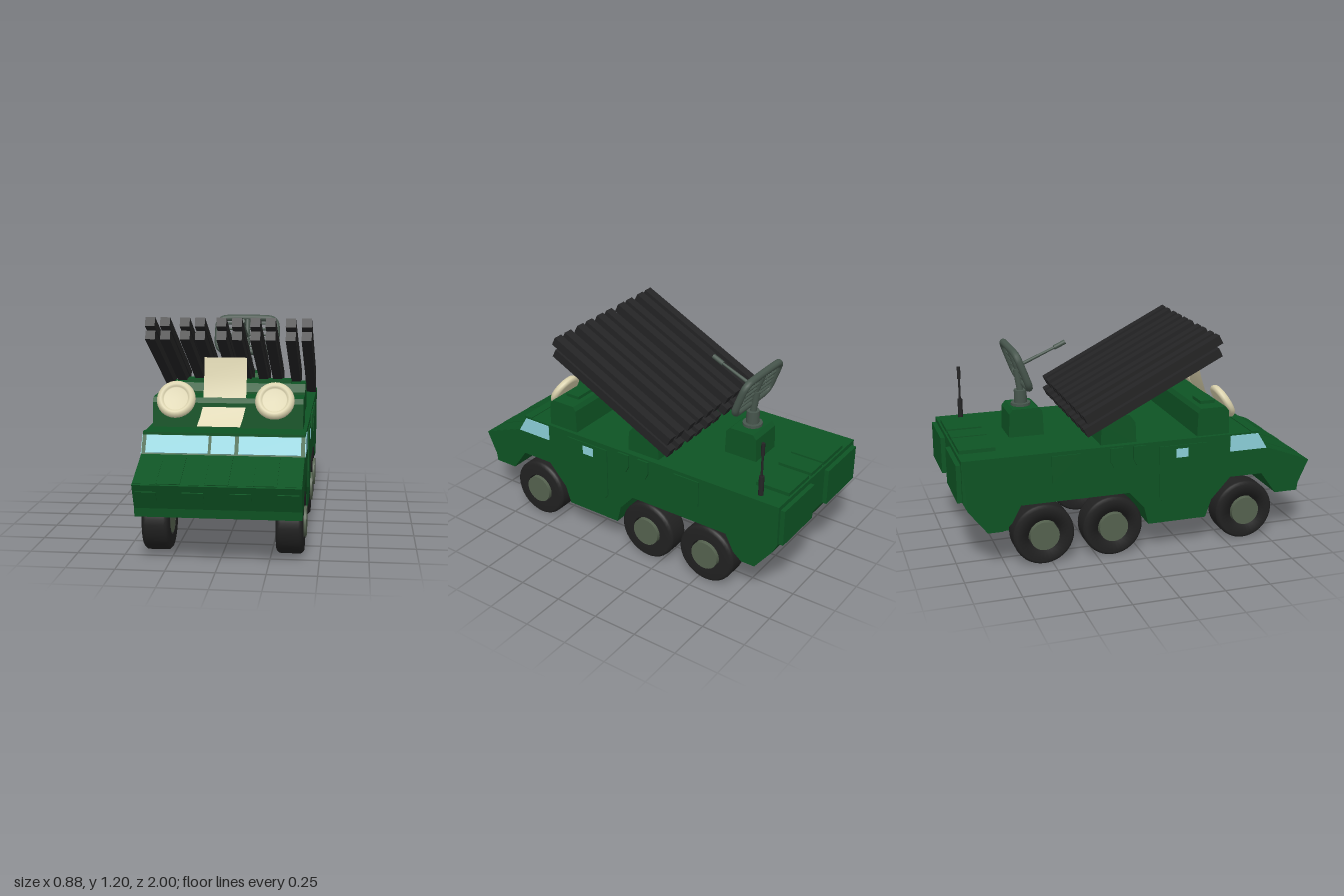
import * as THREE from 'three';

const mat = (name, color, side = THREE.FrontSide) => {
  const m = new THREE.MeshStandardMaterial({ color, side });
  m.name = name;
  return m;
};

export function createModel() {
  const green = mat('hull green', 0x0e5424);
  const black = mat('tyre black', 0x212121);
  const tubeBlack = mat('launcher black', 0x242425);
  const grey = mat('hub grey', 0x55624f);
  const metal = mat('radar grey', 0x47564d);
  const glass = mat('window blue', 0x8ccfd9);
  const cream = mat('cream', 0xdbd3ae, THREE.DoubleSide);

  const model = new THREE.Group();
  model.name = 'rocketTruck';
  const body = new THREE.Group();
  body.name = 'body';
  body.position.x = 0.005;
  model.add(body);

  const add = (parent, name, geo, m, x = 0, y = 0, z = 0) => {
    const mesh = new THREE.Mesh(geo, m);
    mesh.name = name;
    mesh.position.set(x, y, z);
    parent.add(mesh);
    return mesh;
  };
  const box = (parent, name, m, x0, x1, y0, y1, z0, z1) =>
    add(parent, name, new THREE.BoxGeometry(x1 - x0, y1 - y0, z1 - z0), m, (x0 + x1) / 2, (y0 + y1) / 2, (z0 + z1) / 2);
  // Side outline given as [z, y], extruded across x
  const profile = (parent, name, m, pts, width, x = 0) => {
    const shape = new THREE.Shape(pts.map(p => new THREE.Vector2(p[0], p[1])));
    const geo = new THREE.ExtrudeGeometry(shape, { depth: width, bevelEnabled: false });
    geo.translate(0, 0, -width / 2).rotateY(-Math.PI / 2);
    return add(parent, name, geo, m, x);
  };
  // Flat bar centred on the line a-b, both [z, y], from x0 to x1
  const slab = (parent, name, m, x0, x1, a, b, t) => {
    const dz = b[0] - a[0], dy = b[1] - a[1];
    const mesh = add(parent, name, new THREE.BoxGeometry(x1 - x0, t, Math.hypot(dz, dy)), m,
      (x0 + x1) / 2, (a[1] + b[1]) / 2, (a[0] + b[0]) / 2);
    mesh.rotation.x = -Math.atan2(dy, dz);
    return mesh;
  };
  // Round bar between two points
  const rod = (parent, name, m, a, b, r, r2 = r) => {
    const p = new THREE.Vector3(...a), d = new THREE.Vector3(...b).sub(p);
    const mesh = add(parent, name, new THREE.CylinderGeometry(r2, r, d.length(), 12), m);
    mesh.position.copy(p).addScaledVector(d, 0.5);
    mesh.quaternion.setFromUnitVectors(new THREE.Vector3(0, 1, 0), d.normalize());
    return mesh;
  };

  // Hull with open wheel arches
  profile(body, 'hull', green, [
    [0.68, 0.63], [-0.975, 0.63], [-0.975, 0.4], [-0.95, 0.35], [-0.85, 0.22], [-0.77, 0.22],
    [-0.72, 0.26], [-0.67, 0.355], [-0.07, 0.355], [0.015, 0.26], [0.04, 0.16], [0.375, 0.16],
    [0.41, 0.26], [0.52, 0.38], [0.71, 0.38], [0.8, 0.255], [0.935, 0.255], [0.94, 0.3],
    [1.0, 0.43], [0.74, 0.53]], 0.83);
  box(body, 'towBracket', green, -0.175, 0.175, 0.12, 0.3, -0.718, -0.645);
  slab(body, 'roofLip', green, -0.415, 0.415, [0.69, 0.628], [0.64, 0.628], 0.014);

  // Windscreen panes
  for (const [x0, x1] of [[-0.395, -0.075], [-0.06, 0.06], [0.08, 0.395]])
    slab(body, 'windscreen', glass, x0, x1, [0.736, 0.536], [0.684, 0.618], 0.008);
  // Bonnet plates and nose lamps
  for (let i = 0; i < 7; i++) {
    const x = -0.354 + i * 0.118, high = i % 2;
    slab(body, 'bonnetPlate', green, x - 0.058, x + 0.058, [0.99, 0.433], high ? [0.76, 0.522] : [0.79, 0.51], high ? 0.01 : 0.005);
  }
  for (const x of [-0.35, -0.117, 0.117, 0.35])
    slab(body, 'noseLamp', green, x - 0.052, x + 0.052, [0.984, 0.395], [0.957, 0.337], 0.012);

  // Side doors, windows, shields and panels
  const rect = (z0, z1, y0, y1) => [[z0, y0], [z1, y0], [z1, y1], [z0, y1]];
  const shield = z => [[z - 0.035, 0.62], [z - 0.035, 0.55], [z - 0.015, 0.51], [z + 0.015, 0.51], [z + 0.035, 0.55], [z + 0.035, 0.62]];
  for (const s of [-1, 1]) {
    profile(body, 'sideDoor', green, [[0.12, 0.285], [0.36, 0.285], [0.375, 0.6], [0.1, 0.6], [0.1, 0.31]], 0.012, s * 0.415);
    profile(body, 'doorWindow', glass, rect(0.195, 0.265, 0.53, 0.58), 0.008, s * 0.42);
    profile(body, 'cabWindow', glass, [[0.735, 0.53], [0.515, 0.53], [0.515, 0.62], [0.68, 0.62]], 0.008, s * 0.415);
    for (const z of [-0.015, -0.145]) profile(body, 'sideShield', green, shield(z), 0.02, s * 0.415);
    profile(body, 'sidePanel', green, rect(-0.5, -0.345, 0.46, 0.61), 0.014, s * 0.415);
  }

  // Rear doors and raised deck hatches
  for (const [x0, x1] of [[-0.395, -0.075], [0.085, 0.395]])
    box(body, 'rearDoor', green, x0, x1, 0.4, 0.605, -1.0, -0.97);
  for (const [x0, x1] of [[-0.295, -0.075], [-0.06, 0.06], [0.085, 0.295]])
    box(body, 'deckHatch', green, x0, x1, 0.62, 0.65, -0.965, -0.77);

  // Raised roof housings
  profile(body, 'frontHousing', green, [[0.515, 0.62], [0.51, 0.76], [0.49, 0.785], [0.345, 0.785], [0.33, 0.76], [0.325, 0.62]], 0.79);
  profile(body, 'launcherBase', green, [[-0.02, 0.62], [-0.025, 0.74], [-0.06, 0.785], [-0.19, 0.785], [-0.215, 0.75], [-0.22, 0.62]], 0.76);
  profile(body, 'radarBase', green, [[-0.46, 0.62], [-0.465, 0.76], [-0.49, 0.785], [-0.63, 0.785], [-0.65, 0.76], [-0.655, 0.62]], 0.2);
  for (const x of [-0.25, 0.25]) box(body, 'roofHatch', green, x - 0.06, x + 0.06, 0.78, 0.803, 0.375, 0.46);
  box(body, 'launcherPivot', green, -0.3, 0.3, 0.78, 0.803, -0.16, -0.08);

  // Wheels
  const tyreProfile = [[0.088, -0.068], [0.152, -0.07], [0.166, -0.058], [0.168, -0.045], [0.168, 0.045],
    [0.166, 0.058], [0.152, 0.07], [0.088, 0.068], [0.088, -0.068]].map(p => new THREE.Vector2(p[0], p[1]));
  const tyreGeo = new THREE.LatheGeometry(tyreProfile, 36).rotateZ(Math.PI / 2);
  const hubGeo = new THREE.CylinderGeometry(0.08, 0.08, 0.15, 28).rotateZ(Math.PI / 2);
  for (const z of [0.615, -0.16, -0.545]) for (const s of [-1, 1]) {
    const wheel = new THREE.Group();
    wheel.name = 'wheel';
    wheel.position.set(s * 0.343, 0.168, z);
    body.add(wheel);
    add(wheel, 'tyre', tyreGeo, black);
    add(wheel, 'hub', hubGeo, grey, s * 0.006);
  }

  // Two rows of inclined launch tubes
  const launcher = new THREE.Group();
  launcher.name = 'launcher';
  model.add(launcher);
  for (const x of [-0.414, -0.334, -0.229, -0.149, -0.036, 0.046, 0.142, 0.222, 0.327, 0.41])
    for (const y of [0, 0.07])
      slab(launcher, 'launchTube', tubeBlack, x - 0.026, x + 0.026, [-0.32, 0.725 + y], [0.43, 1.105 + y], 0.05);

  // Round cream dishes, leaning back
  const dishProfile = [[0, -0.02], [0.08, -0.02], [0.096, -0.016], [0.103, -0.004], [0.1, 0.008], [0.09, 0.02],
    [0.078, 0.022], [0.066, 0.016], [0.062, 0.008], [0, 0.008]].map(p => new THREE.Vector2(p[0], p[1]));
  const dishGeo = new THREE.LatheGeometry(dishProfile, 32);
  for (const x of [-0.263, 0.253])
    add(model, 'dish', dishGeo, cream, x, 0.78, 0.525).rotation.x = Math.PI / 3;

  // Curved cream sheet between the dishes, rows of [z, y, x shift] from the top
  const sheetRows = [[0.43, 0.99, 0], [0.447, 0.9, 0], [0.475, 0.81, 0], [0.51, 0.74, 0], [0.545, 0.69, -0.01], [0.585, 0.648, -0.022]];
  const sheetGeo = new THREE.PlaneGeometry(0.225, 1, 1, sheetRows.length - 1);
  const pos = sheetGeo.attributes.position;
  for (let i = 0; i < pos.count; i++) {
    const [z, y, shift] = sheetRows[Math.floor(i / 2)];
    pos.setXYZ(i, pos.getX(i) - 0.0125 + shift, y, z);
  }
  sheetGeo.computeVertexNormals();
  add(model, 'curvedSheet', sheetGeo, cream);

  // Radar mast, frame, grille bars and feed arm
  rod(model, 'mastFoot', metal, [0, 0.78, -0.565], [0, 0.8, -0.565], 0.055);
  rod(model, 'mast', metal, [0, 0.79, -0.565], [0, 0.87, -0.565], 0.036);
  rod(model, 'mastNeck', metal, [0, 0.86, -0.565], [0, 0.99, -0.585], 0.018);
  const radar = new THREE.Group();
  radar.name = 'radar';
  radar.position.set(0, 1.01, -0.585);
  radar.rotation.x = -0.36;
  model.add(radar);
  const w = 0.18, h = 0.105, r = 0.05;
  const framePoints = [];
  [[1, 1], [-1, 1], [-1, -1], [1, -1]].forEach(([sx, sy], i) => {
    for (let k = 0; k <= 4; k++) {
      const a = (i + k / 4) * Math.PI / 2;
      framePoints.push(new THREE.Vector3(sx * (w - r) + r * Math.cos(a), sy * (h - r) + r * Math.sin(a), 0));
    }
  });
  const loop = new THREE.CatmullRomCurve3(framePoints, true);
  add(radar, 'radarFrame', new THREE.TubeGeometry(loop, 80, 0.02, 10, true), metal);
  for (let i = -2; i <= 2; i++)
    rod(radar, 'radarBar', metal, [-w, i * 0.036, 0], [w, i * 0.036, 0], 0.007);
  rod(radar, 'radarSpine', metal, [0, -h, 0], [0, h, 0], 0.016);
  rod(model, 'feedArm', metal, [0, 1.0, -0.58], [0, 1.09, -0.37], 0.011, 0.007);
  rod(model, 'feedHorn', metal, [0, 1.09, -0.37], [0, 1.118, -0.308], 0.013);

  // Whip antenna
  for (const [y0, y1, rad] of [[0.63, 0.74, 0.014], [0.73, 0.87, 0.006], [0.86, 0.93, 0.01]])
    rod(model, 'antenna', tubeBlack, [0.365, y0, -0.838], [0.365, y1, -0.838], rad);

  return model;
}
